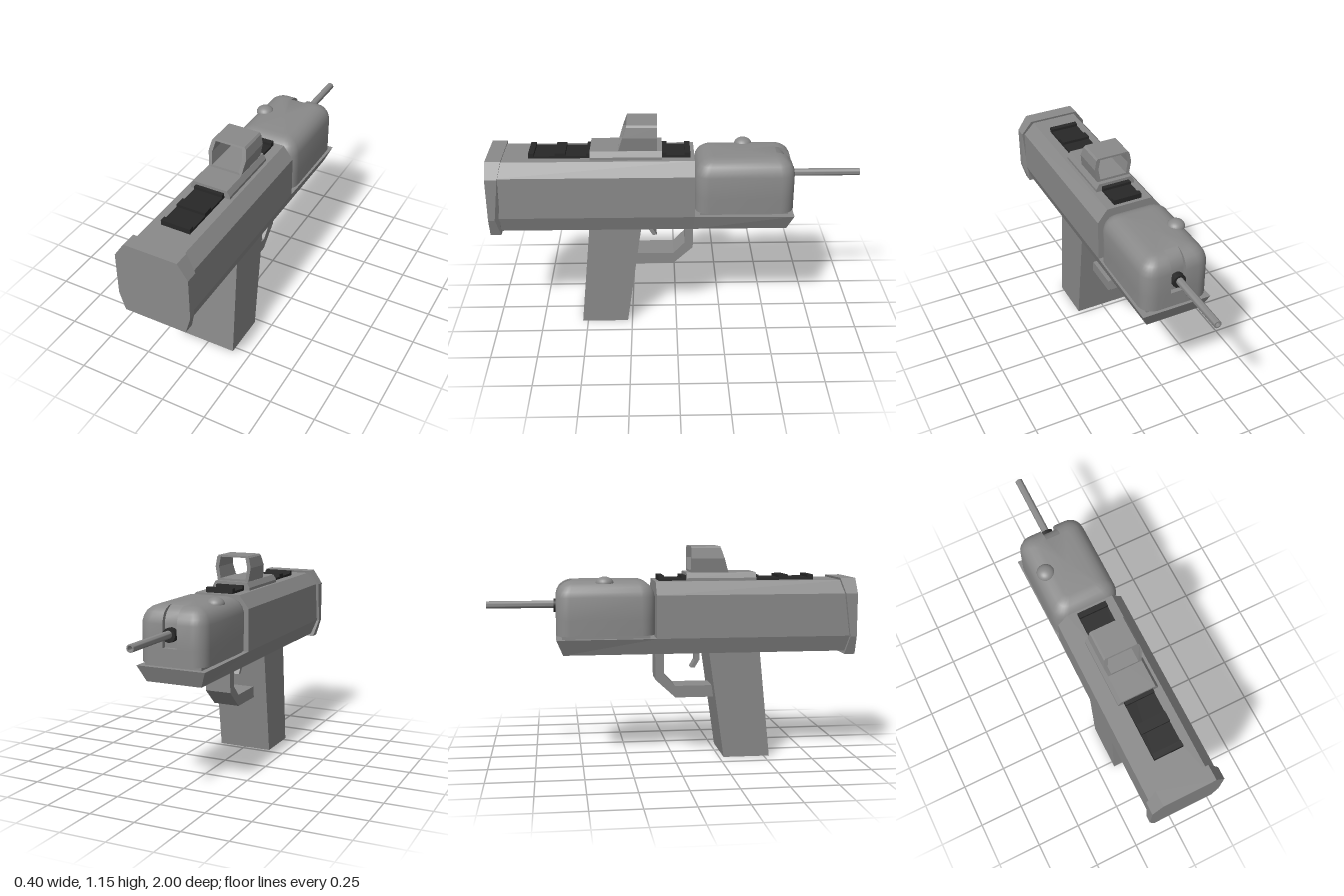
import * as THREE from 'three';
import { toCreasedNormals, mergeVertices } from 'three/addons/utils/BufferGeometryUtils.js';

const grey = new THREE.MeshStandardMaterial({ color: 0x8a8a8a });
grey.name = 'grey casing';
const black = new THREE.MeshStandardMaterial({ color: 0x282828 });
black.name = 'black fittings';

const toShape = (pts) => new THREE.Shape(pts.map(([a, b]) => new THREE.Vector2(a, b)));

// Right half of an outline, given top to bottom, mirrored into a closed loop
const mirrored = (half) => [...half.map(([x, y]) => [-x, y]), ...[...half].reverse()];

// Outline in x,y swept along z
function alongZ(pts, z0, z1, hole) {
  const shape = toShape(pts);
  if (hole) shape.holes.push(toShape(hole));
  const g = new THREE.ExtrudeGeometry(shape, { depth: z1 - z0, bevelEnabled: false });
  return g.translate(0, 0, z0);
}

// Side outline in z,y swept across x
function acrossX(pts, halfWidth) {
  const g = new THREE.ExtrudeGeometry(toShape(pts), { depth: halfWidth * 2, bevelEnabled: false });
  return g.translate(0, 0, -halfWidth).rotateY(-Math.PI / 2);
}

// Move vertices by a rule, then restore flat normals
function reshape(g, rule) {
  const p = g.attributes.position;
  const v = new THREE.Vector3();
  for (let i = 0; i < p.count; i++) {
    rule(v.fromBufferAttribute(p, i));
    p.setXYZ(i, v.x, v.y, v.z);
  }
  g.computeVertexNormals();
  return g;
}

// Rounded housing lofted upward, with a shallow slot in the muzzle end
function housingGeometry() {
  const W = 0.185, Z0 = -0.63, Z1 = -0.1, R = 0.075, S = 0.04, STEPS = 6;
  const rings = [ // y, inset, slot depth
    [0.685, 0, 0], [0.77, 0, 0], [0.77, 0, 0.025], [0.89, 0, 0.025], [0.92, 0.008, 0.025],
    [0.945, 0.022, 0.025], [0.963, 0.045, 0.025], [0.973, 0.07, 0.02], [0.976, 0.095, 0],
  ];
  const pos = [], index = [];
  let n = 0;
  for (const [y, inset, slot] of rings) {
    const r = Math.max(R - inset * 0.6, 0.02);
    const hx = W - inset - r, za = Z0 + inset + r, zb = Z1 - inset - r;
    const ring = [];
    [[hx, zb], [-hx, zb], [-hx, za], [hx, za]].forEach(([cx, cz], k) => {
      if (k === 3) {
        const z = Z0 + inset;
        ring.push([-S, z], [-S, z + slot], [S, z + slot], [S, z]);
      }
      for (let i = 0; i <= STEPS; i++) {
        const a = (k + i / STEPS) * Math.PI / 2;
        ring.push([cx + r * Math.cos(a), cz + r * Math.sin(a)]);
      }
    });
    n = ring.length;
    ring.forEach(([x, z]) => pos.push(x, y, z));
  }
  const last = rings.length - 1, top = pos.length / 3;
  pos.push(0, 0.978, (Z0 + Z1) / 2, 0, rings[0][0], (Z0 + Z1) / 2);
  for (let i = 0; i < n; i++) {
    const k = (i + 1) % n;
    for (let j = 0; j < last; j++) {
      const a = j * n + i, b = j * n + k;
      index.push(a, a + n, b, b, a + n, b + n);
    }
    index.push(top, last * n + k, last * n + i, top + 1, i, k);
  }
  const g = new THREE.BufferGeometry();
  g.setAttribute('position', new THREE.Float32BufferAttribute(pos, 3));
  g.setIndex(index);
  return toCreasedNormals(mergeVertices(g), 0.7);
}

export function createModel() {
  const model = new THREE.Group();
  model.name = 'compactLauncher';
  const add = (name, geometry, material = grey, parent = model) => {
    const m = new THREE.Mesh(geometry, material);
    m.name = name;
    parent.add(m);
    return m;
  };

  // Chamfered main body
  add('body', alongZ(mirrored([[0.13, 0.97], [0.185, 0.9], [0.185, 0.668], [0.155, 0.582]]), -0.097, 0.97));

  // Rear cap, its leading edge stepping back down the sides
  const cap = alongZ(mirrored([[0.145, 0.982], [0.2, 0.9], [0.2, 0.665], [0.17, 0.565]]), 0.9, 1);
  add('rearCap', reshape(cap, (v) => {
    if (v.z < 0.95) v.z = v.y > 0.95 ? 0.917 : v.y > 0.8 ? 0.935 : v.y > 0.6 ? 0.965 : 0.942;
  }));

  // Tray under the housing, flared and raked at its end
  const tray = alongZ(mirrored([[0.185, 0.668], [0.155, 0.582]]), -0.63, -0.09);
  add('tray', reshape(tray, (v) => {
    if (v.z < -0.5) {
      if (v.y < 0.6) v.z = -0.595;
      else v.x *= 1.04;
    }
  }));

  // Muzzle housing on its narrower plinth
  const plinth = new THREE.BoxGeometry(0.32, 0.03, 0.47);
  add('housingPlinth', plinth.translate(0, 0.675, -0.365));
  add('housing', housingGeometry());
  const dome = new THREE.SphereGeometry(0.048, 24, 10, 0, Math.PI * 2, 0, Math.PI / 2);
  const button = add('button', dome);
  button.scale.y = 0.75;
  button.position.set(-0.123, 0.963, -0.37);

  // Hollow barrel and its collar
  const barrelProfile = [[0.013, -0.2], [0.013, 0.195], [0.02, 0.195], [0.02, -0.2]];
  const barrel = new THREE.LatheGeometry(barrelProfile.map(([r, y]) => new THREE.Vector2(r, y)).reverse(), 20);
  const tubeMaterial = grey;
  add('barrel', toCreasedNormals(barrel.rotateX(-Math.PI / 2), 0.7), tubeMaterial).position.set(0, 0.843, -0.805);
  const bore = new THREE.CircleGeometry(0.0135, 20).rotateY(Math.PI);
  add('boreEnd', bore, black).position.set(0, 0.843, -0.96);
  const collar = new THREE.CylinderGeometry(0.037, 0.037, 0.045, 12).rotateX(Math.PI / 2);
  add('barrelCollar', collar, black).position.set(0, 0.838, -0.618);

  // Accessory rail with raised teeth
  const rail = new THREE.Group();
  rail.name = 'rail';
  model.add(rail);
  const bar = (name, z0, z1, y1) => {
    const g = new THREE.BoxGeometry(0.16, y1 - 0.96, z1 - z0);
    add(name, g.translate(0, (y1 + 0.96) / 2, (z0 + z1) / 2), black, rail);
  };
  bar('railBase', -0.075, 0.78, 0.983);
  [[-0.075, -0.045], [0.05, 0.09], [0.44, 0.475], [0.585, 0.64], [0.75, 0.78]]
    .forEach(([a, b]) => bar('railTooth', a, b, 0.998));

  // Sight: tapered mount and open hood with a raked front
  add('sightMount', alongZ(mirrored([[0.095, 1.014], [0.112, 0.985], [0.112, 0.965]]), 0.075, 0.455));
  const hoodOuter = mirrored([[0.088, 1.155], [0.097, 1.145], [0.107, 1.09], [0.093, 1.012]]);
  const hoodInner = mirrored([[0.075, 1.145], [0.086, 1.09], [0.076, 1.026]]);
  add('sightHood', reshape(alongZ(hoodOuter, 0.1, 0.305, hoodInner), (v) => {
    if (v.z > 0.2) v.z -= Math.max(0, v.y - 1.02) * 0.34;
  }));

  // Grip, trigger and trigger guard
  add('grip', acrossX([[0.47, 0.59], [0.19, 0.59], [0.275, 0], [0.53, 0]], 0.155));
  add('triggerGuard', acrossX([[-0.047, 0.59], [-0.095, 0.59], [-0.092, 0.425], [0.017, 0.325],
    [0.25, 0.325], [0.25, 0.39], [0.015, 0.39], [-0.047, 0.455]], 0.075));
  add('trigger', acrossX([[0.158, 0.59], [0.13, 0.59], [0.13, 0.525], [0.107, 0.484],
    [0.13, 0.484], [0.158, 0.53]], 0.035));

  return model;
}
